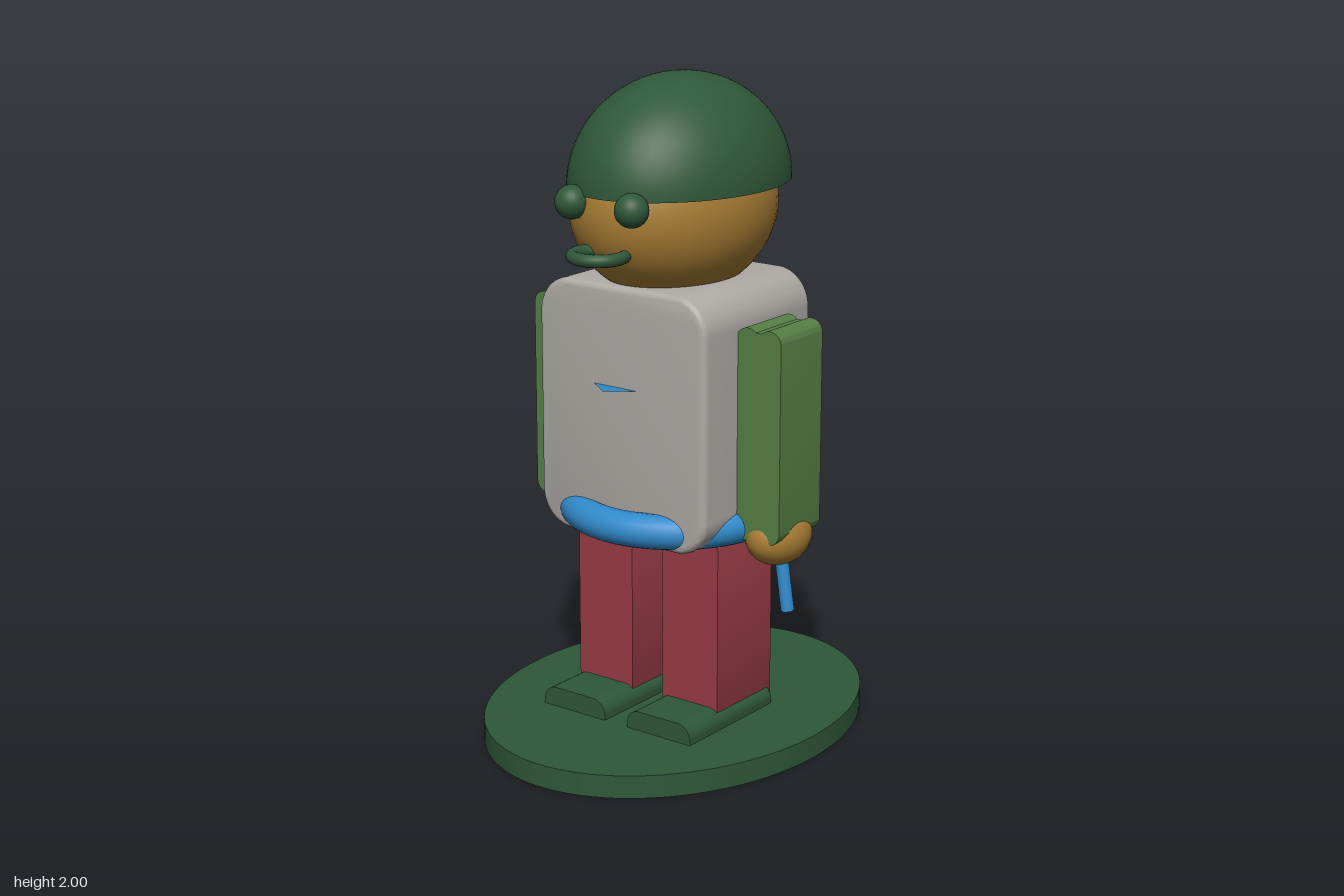
import * as THREE from 'three';
import { toCreasedNormals } from 'three/addons/utils/BufferGeometryUtils.js';

const paint = (name, color, extra = {}) => {
  const m = new THREE.MeshStandardMaterial({ color, ...extra });
  m.name = name;
  return m;
};

// Rounded rectangle outline centred on the origin
function roundedRect(w, h, r) {
  const x = w / 2, y = h / 2, s = new THREE.Shape();
  s.moveTo(x, -y + r);
  s.lineTo(x, y - r);
  s.absarc(x - r, y - r, r, 0, Math.PI / 2);
  s.absarc(-x + r, y - r, r, Math.PI / 2, Math.PI);
  s.absarc(-x + r, -y + r, r, Math.PI, Math.PI * 1.5);
  s.absarc(x - r, -y + r, r, Math.PI * 1.5, Math.PI * 2);
  return s;
}

// Arm outline: two round lobes at each end with a notch between them
function armOutline(w, h) {
  const r = w / 4, y = h / 2 - r, s = new THREE.Shape();
  s.moveTo(w / 2, -y);
  s.lineTo(w / 2, y);
  s.absarc(r, y, r, 0, Math.PI * 0.75);
  s.absarc(-r, y, r, Math.PI * 0.25, Math.PI);
  s.lineTo(-w / 2, -y);
  s.absarc(-r, -y, r, Math.PI, Math.PI * 1.75);
  s.absarc(r, -y, r, Math.PI * 1.25, Math.PI * 2);
  return s;
}

// Extrusion along z, centred, with an optional bevel kept inside the outline
function slab(shape, depth, bevel = 0) {
  const g = new THREE.ExtrudeGeometry(shape, {
    depth: depth - 2 * bevel, curveSegments: 10, bevelEnabled: bevel > 0,
    bevelThickness: bevel, bevelSize: bevel, bevelOffset: -bevel, bevelSegments: 4,
  });
  g.translate(0, 0, -depth / 2 + bevel);
  return toCreasedNormals(g, 0.6);
}

export function createModel() {
  const model = new THREE.Group();
  model.name = 'figurine';
  const darkGreen = paint('dark green', 0x2f5839);
  const skin = paint('tan skin', 0xa87d34);
  const grey = paint('warm grey', 0xaeaaa6);
  const leaf = paint('leaf green', 0x567f44);
  const red = paint('brick red', 0x993c45);
  const blue = paint('blue', 0x308aca, { side: THREE.DoubleSide });

  const add = (name, geometry, material, x, y, z) => {
    const mesh = new THREE.Mesh(geometry, material);
    mesh.name = name;
    mesh.position.set(x, y, z);
    model.add(mesh);
    return mesh;
  };

  // Oval stand
  add('base', new THREE.CylinderGeometry(1, 1, 0.07, 96), darkGreen, 0, 0.035, 0)
    .scale.set(0.525, 1, 0.665);

  // Torso and the ring belt sunk into it
  add('torso', slab(roundedRect(0.61, 0.77, 0.11), 0.53, 0.02), grey, 0, 1.025, 0);
  add('belt', new THREE.TorusGeometry(0.3, 0.052, 20, 72).rotateX(Math.PI / 2), blue, 0, 0.698, 0);

  // Small flat triangle standing out from the chest
  const tab = new THREE.Shape([[-0.08, 0], [0.08, 0], [0, 0.06]].map(p => new THREE.Vector2(...p)));
  add('chestTab', new THREE.ShapeGeometry(tab).rotateX(Math.PI / 2), blue, -0.02, 1.11, 0.263);

  // Head with a half-dome helmet
  add('head', new THREE.SphereGeometry(1, 48, 32), skin, 0, 1.62, 0.003)
    .scale.set(0.28, 0.28, 0.353);
  const dome = new THREE.Group();
  dome.name = 'helmet';
  const shell = new THREE.Mesh(
    new THREE.SphereGeometry(1, 64, 24, 0, Math.PI * 2, 0, Math.PI / 2), darkGreen);
  shell.name = 'helmetShell';
  const rim = new THREE.Mesh(new THREE.CircleGeometry(1, 64).rotateX(Math.PI / 2), darkGreen);
  rim.name = 'helmetUnderside';
  dome.add(shell, rim);
  dome.position.set(0, 1.68, -0.025);
  dome.scale.set(0.3, 0.32, 0.38);
  model.add(dome);

  // Mouth ring
  add('mouth', new THREE.TorusGeometry(0.075, 0.019, 14, 48).rotateX(Math.PI / 2), darkGreen, 0, 1.52, 0.36);

  // Paired parts
  for (const [side, s] of [['left', 1], ['right', -1]]) {
    add(side + 'Eye', new THREE.SphereGeometry(0.05, 24, 16), darkGreen, s * 0.108, 1.66, 0.345);
    add(side + 'Arm', slab(armOutline(0.155, 0.64), 0.21), leaf, s * 0.378, 0.99, 0);
    add(side + 'Hand', new THREE.SphereGeometry(0.09, 32, 24), skin, s * 0.382, 0.67, 0)
      .scale.z = 1.3;
    add(side + 'Leg', slab(roundedRect(0.205, 0.59, 0.025), 0.275), red, s * 0.16, 0.355, 0.002);
    add(side + 'Foot', slab(roundedRect(0.235, 0.1, 0.045), 0.415), darkGreen, s * 0.16, 0.08, 0.088);
  }

  // Short stick held in the left hand
  add('stick', new THREE.CylinderGeometry(0.02, 0.02, 0.24, 24), blue, 0.413, 0.566, 0.02)
    .rotation.z = 0.15;

  return model;
}
